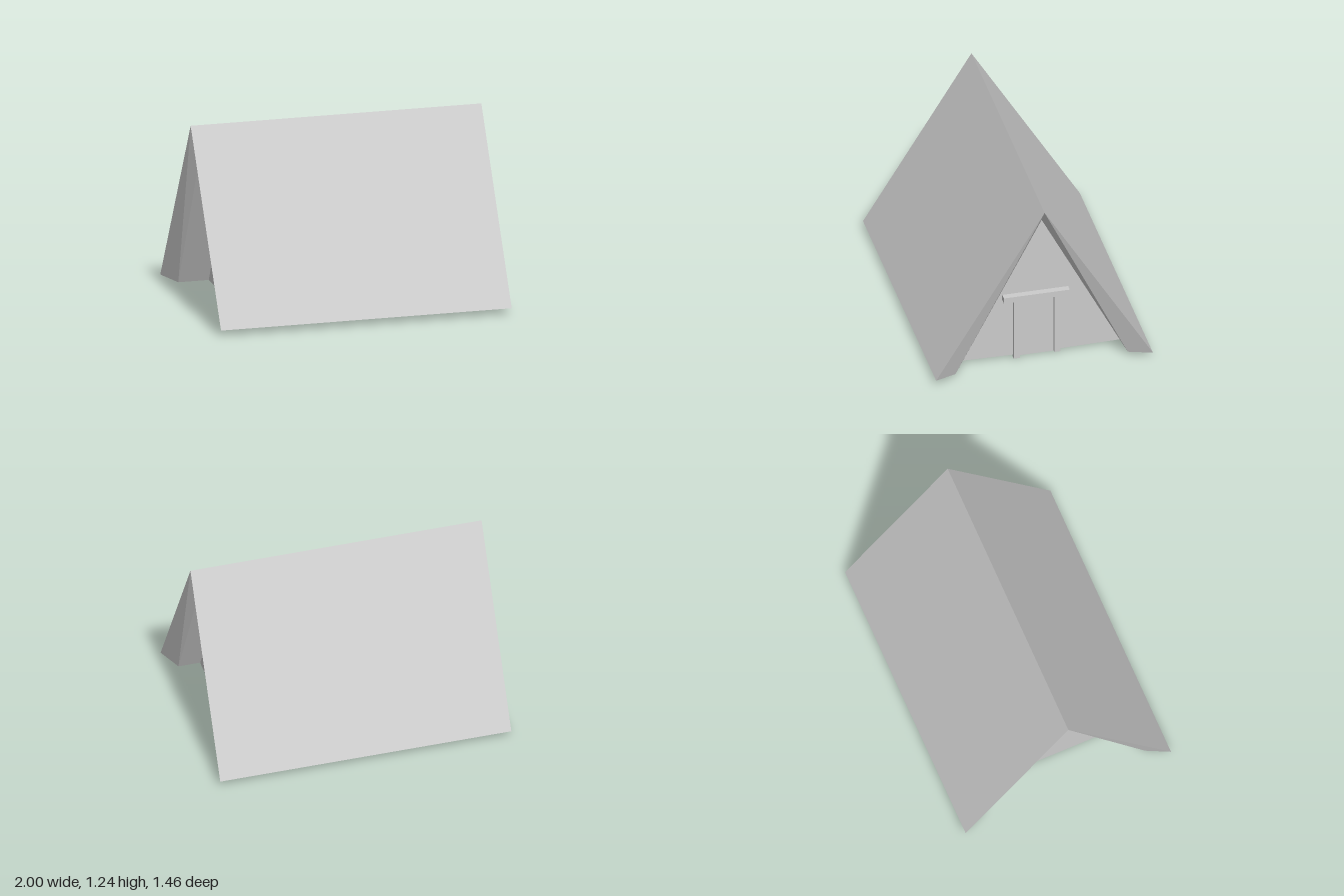
import * as THREE from 'three';

export function createModel() {
  const hut = new THREE.Group();
  hut.name = 'aFrameHut';
  const material = new THREE.MeshStandardMaterial({ color: 0xcccccc, flatShading: true });
  const thin = new THREE.MeshStandardMaterial({ color: 0xcccccc, flatShading: true, side: THREE.DoubleSide });

  const add = (name, geometry, mat = material) => {
    const mesh = new THREE.Mesh(geometry, mat);
    mesh.name = name;
    hut.add(mesh);
    return mesh;
  };
  const polygon = (points) => new THREE.Shape(points.map(([a, b]) => new THREE.Vector2(a, b)));

  // Roof: a thick chevron run along x, with its ends bevelled in towards the inner face
  const length = 1.985, bevel = 0.08;
  const chevron = polygon([
    [0, 1.24], [-0.73, 0.04], [-0.58, 0.02], [0, 1.135], [0.58, 0.02], [0.73, 0.04],
  ]);
  const roof = new THREE.ExtrudeGeometry(chevron, { depth: length, bevelEnabled: false });
  roof.translate(0, 0, -length / 2).rotateY(Math.PI / 2);
  const p = roof.attributes.position;
  for (let i = 0; i < p.count; i++) {
    const x = p.getX(i), y = p.getY(i), z = p.getZ(i);
    const outer = y > 1.2 || Math.abs(z) > 0.7;
    // slight skew along the length
    p.setX(i, x - (outer ? 0 : Math.sign(x) * bevel) - 0.01 * z);
  }
  roof.computeVertexNormals();
  add('roof', roof);

  // Thin gable walls set in from both ends
  for (const [name, x] of [['entranceGable', 0.76], ['rearGable', -0.7]]) {
    const wall = new THREE.ShapeGeometry(polygon([[-0.575, 0.02], [0, 0.01], [0.575, 0.02], [0, 1.12]]));
    wall.rotateY(Math.PI / 2).translate(x, 0, 0);
    add(name, wall, thin);
  }

  // Doorway: panel, two posts and a lintel
  const box = (name, [x0, x1], [y0, y1], [z0, z1]) =>
    add(name, new THREE.BoxGeometry(x1 - x0, y1 - y0, z1 - z0))
      .position.set((x0 + x1) / 2, (y0 + y1) / 2, (z0 + z1) / 2);
  box('door', [0.70, 0.765], [0.005, 0.46], [-0.14, 0.14]);
  box('leftPost', [0.755, 0.79], [0.01, 0.455], [-0.157, -0.117]);
  box('rightPost', [0.755, 0.79], [0, 0.455], [0.117, 0.157]);
  box('lintel', [0.75, 0.805], [0.45, 0.49], [-0.217, 0.228]);

  return hut;
}
